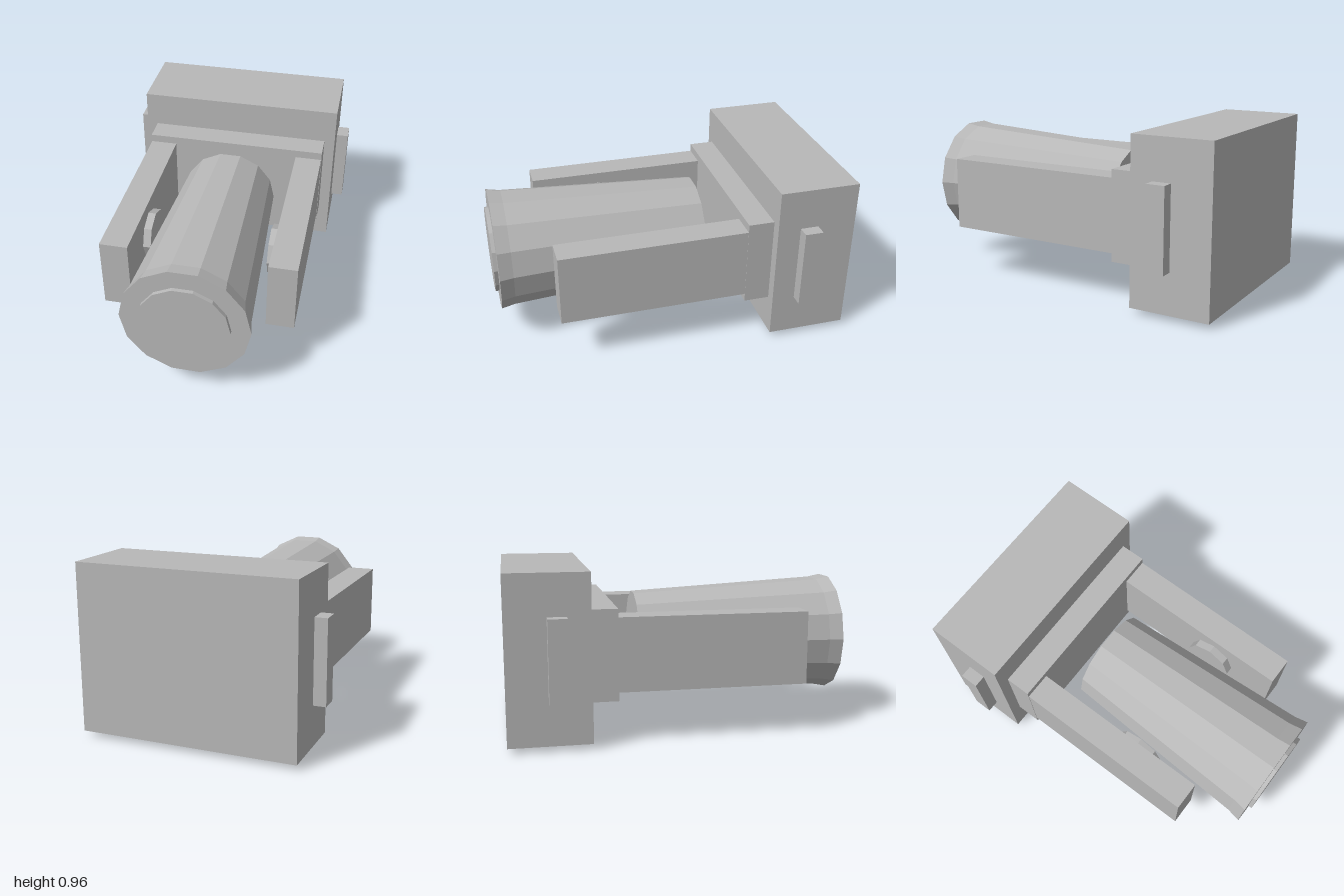
import * as THREE from 'three';

export function createModel() {
  const model = new THREE.Group();
  const grey = new THREE.MeshStandardMaterial({ color: 0xb8b8b8, flatShading: true });
  grey.name = 'grey';

  const add = (name, geometry, x = 0, y = 0, z = 0) => {
    const mesh = new THREE.Mesh(geometry, grey);
    mesh.name = name;
    mesh.position.set(x, y, z);
    model.add(mesh);
    return mesh;
  };

  // Box given by its lower and upper limits on each axis
  const box = (name, x0, x1, y0, y1, z0, z1) =>
    add(name, new THREE.BoxGeometry(x1 - x0, y1 - y0, z1 - z0),
      (x0 + x1) / 2, (y0 + y1) / 2, (z0 + z1) / 2);

  // Housing with its foot and the plate that carries the arms
  box('housing', -0.61, 0.61, 0.03, 0.96, -1, -0.54);
  box('foot', -0.21, 0.21, 0, 0.03, -0.85, -0.64);
  box('mountPlate', -0.546, 0.546, 0.243, 0.752, -0.54, -0.392);

  // Arms, side grips and pivots, mirrored
  for (const [side, s] of [['left', 1], ['right', -1]]) {
    const pair = (name, a, b, ...rest) =>
      box(side + name, Math.min(a * s, b * s), Math.max(a * s, b * s), ...rest);
    pair('Arm', 0.385, 0.544, 0.29, 0.705, -0.392, 0.68);
    pair('Grip', 0.615, 0.685, 0.265, 0.728, -0.775, -0.67);
    const pivot = new THREE.CylinderGeometry(0.142, 0.142, 0.045, 8).rotateZ(Math.PI / 2);
    add(side + 'Pivot', pivot, s * 0.3625, 0.498, 0.27);
  }

  // Tapered fourteen-sided barrel, flared at the front rim
  const profile = [[0, -0.235], [0.278, -0.235], [0.34, 0.9], [0.355, 0.978], [0, 0.978]]
    .map(([r, z]) => new THREE.Vector2(r, z));
  const barrel = new THREE.LatheGeometry(profile, 14, Math.PI / 2).rotateX(Math.PI / 2);
  add('barrel', barrel, 0, 0.498, 0);

  // Raised disc on the front of the barrel
  const disc = new THREE.CylinderGeometry(0.25, 0.25, 0.022, 14, 1, false, Math.PI / 2)
    .rotateX(Math.PI / 2);
  add('lens', disc, 0, 0.498, 0.989);

  return model;
}
